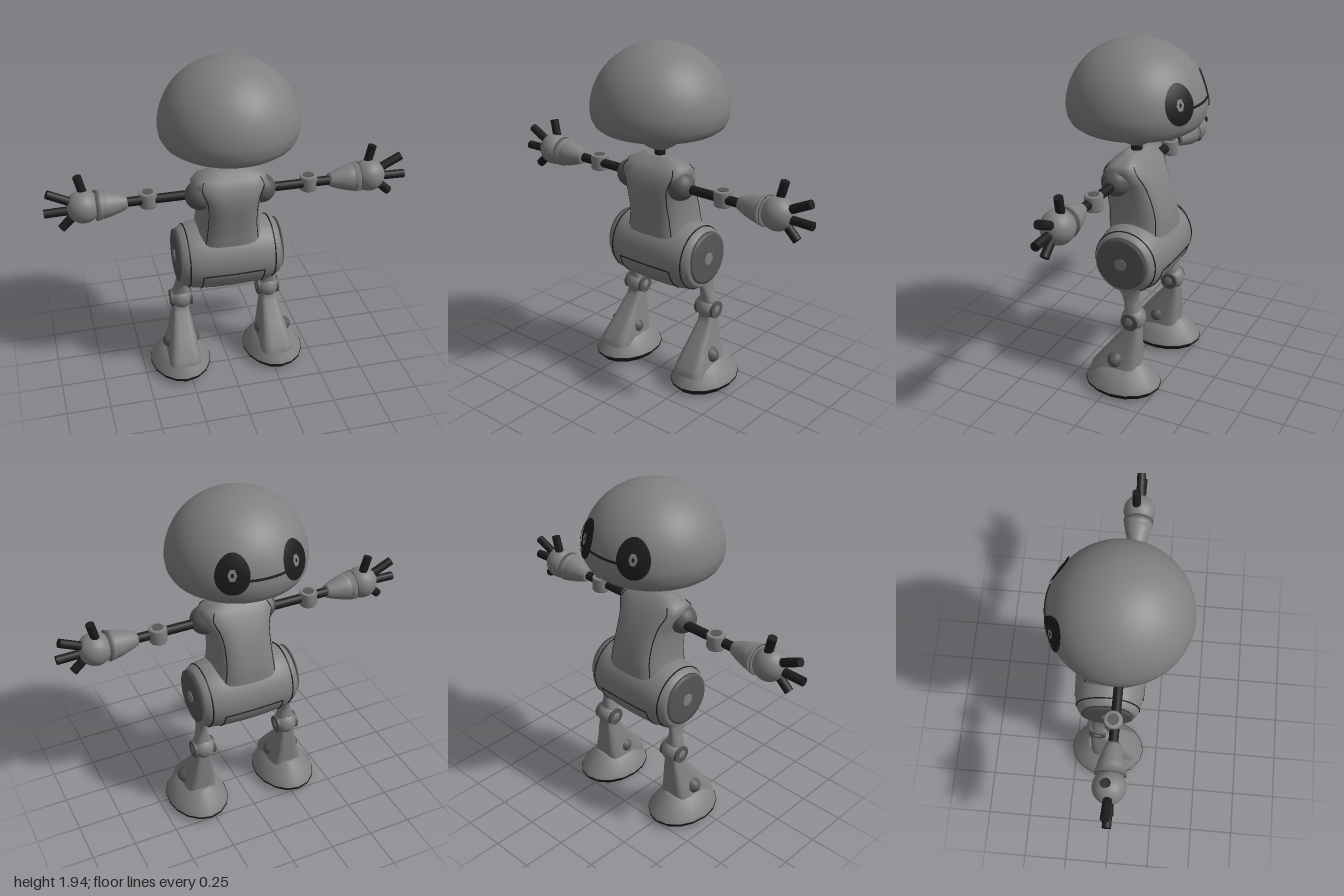
import * as THREE from 'three';

const mats = {
  shell: new THREE.MeshStandardMaterial({ name: 'shellGrey', color: 0x808080 }),
  dark: new THREE.MeshStandardMaterial({ name: 'jointGrey', color: 0x565656 }),
  black: new THREE.MeshStandardMaterial({ name: 'rubberBlack', color: 0x1c1c1c }),
};

function add(parent, name, geometry, mat, x = 0, y = 0, z = 0) {
  const mesh = new THREE.Mesh(geometry, mats[mat]);
  mesh.name = name;
  mesh.position.set(x, y, z);
  parent.add(mesh);
  return mesh;
}

// One superellipse point; row = [y, centreX, centreZ, halfX, halfZ]
function rim(row, t, n) {
  const f = (v) => Math.sign(v) * Math.abs(v) ** (2 / n);
  return [row[1] + row[3] * f(Math.cos(t)), row[0], row[2] + row[4] * f(Math.sin(t))];
}

// Closed skin over cross-sections listed from bottom to top
function loft(rows, n = 2, segs = 32) {
  const pos = [], idx = [];
  const ring = (row) => {
    for (let j = 0; j < segs; j++) pos.push(...rim(row, (j / segs) * Math.PI * 2, n));
  };
  rows.forEach(ring);
  for (let i = 0; i < rows.length - 1; i++) {
    for (let j = 0; j < segs; j++) {
      const a = i * segs + j, b = i * segs + (j + 1) % segs;
      idx.push(a, a + segs, b, b, a + segs, b + segs);
    }
  }
  for (const [row, top] of [[rows[0], false], [rows[rows.length - 1], true]]) {
    const start = pos.length / 3;
    ring(row);
    pos.push(row[1], row[0], row[2]);
    for (let j = 0; j < segs; j++) {
      const a = start + j, b = start + (j + 1) % segs, c = start + segs;
      idx.push(c, ...(top ? [b, a] : [a, b]));
    }
  }
  const g = new THREE.BufferGeometry();
  g.setAttribute('position', new THREE.Float32BufferAttribute(pos, 3));
  g.setIndex(idx);
  g.computeVertexNormals();
  return g;
}

const lathe = (pts, segs = 40) =>
  new THREE.LatheGeometry(pts.map((p) => new THREE.Vector2(p[0], p[1])), segs);

// Cylinder running between two points
function rod(parent, name, a, b, r, mat) {
  const A = new THREE.Vector3(...a), B = new THREE.Vector3(...b);
  const m = add(parent, name, new THREE.CylinderGeometry(r, r, A.distanceTo(B), 14), mat);
  m.position.copy(A).add(B).multiplyScalar(0.5);
  m.quaternion.setFromUnitVectors(new THREE.Vector3(0, 1, 0), B.sub(A).normalize());
}

function seam(parent, name, pts, r = 0.004) {
  const curve = new THREE.CatmullRomCurve3(pts.map((p) => new THREE.Vector3(...p)));
  add(parent, name, new THREE.TubeGeometry(curve, 24, r, 5), 'black');
}

// Dome of the head
const domeR = (y) => 0.377 * Math.sqrt(Math.max(0, 1 - ((y - 1.58) / 0.36) ** 2));

// Wraps a flat unit disc or ring onto the dome, facing -z
function onDome(geometry, angle, y, halfAngle, halfY, lift) {
  const p = geometry.attributes.position;
  for (let i = 0; i < p.count; i++) {
    const a = angle - p.getX(i) * halfAngle, h = y + p.getY(i) * halfY;
    const r = domeR(h) + lift;
    p.setXYZ(i, Math.sin(a) * r, h + lift * 0.4, -Math.cos(a) * r);
  }
  geometry.computeVertexNormals();
  return geometry;
}

function buildHead() {
  const head = new THREE.Group();
  head.name = 'head';
  const profile = [[0, 1.47], [0.29, 1.473], [0.325, 1.482], [0.352, 1.502], [0.37, 1.535]];
  for (let i = 0; i <= 24; i++) {
    const t = (i / 24) * Math.PI / 2;
    profile.push([0.377 * Math.cos(t), 1.58 + 0.36 * Math.sin(t)]);
  }
  add(head, 'headShell', lathe(profile, 64), 'shell');
  for (const s of [-1, 1]) {
    const eye = (name, geo, w, h, lift, mat) =>
      add(head, name, onDome(geo, s * 0.49, 1.67, w, h, lift), mat);
    eye('eyeLens', new THREE.RingGeometry(0.001, 1, 40, 8), 0.235, 0.102, 0.004, 'black');
    eye('eyeRim', new THREE.RingGeometry(0.8, 1, 40, 2), 0.24, 0.105, 0.009, 'black');
    eye('pupil', new THREE.RingGeometry(0.35, 1, 6, 2), 0.065, 0.034, 0.008, 'shell');
  }
  // Bridge line between the eyes
  const line = [];
  for (let i = -4; i <= 4; i++) {
    const a = i * 0.07;
    line.push([Math.sin(a) * domeR(1.64), 1.64, -Math.cos(a) * domeR(1.64)]);
  }
  seam(head, 'eyeBridge', line, 0.007);
  // Neck
  add(head, 'neckCup', lathe([[0, 1.36], [0.05, 1.362], [0.09, 1.385], [0.12, 1.42],
    [0.135, 1.45], [0.135, 1.465], [0, 1.475]]), 'shell');
  rod(head, 'neck', [0, 1.27, 0], [0, 1.38, 0], 0.03, 'black');
  return head;
}

function buildBody() {
  const body = new THREE.Group();
  body.name = 'body';
  const rows = [
    [0.89, 0, -0.05, 0.185, 0.175], [0.94, 0, -0.047, 0.176, 0.175], [1.0, 0, -0.042, 0.168, 0.172],
    [1.1, 0, -0.018, 0.165, 0.166], [1.18, 0, 0.003, 0.177, 0.151], [1.25, 0, 0.014, 0.21, 0.122],
    [1.285, 0, 0.012, 0.19, 0.09], [1.31, 0, 0.01, 0.14, 0.06], [1.325, 0, 0.008, 0.09, 0.035],
  ];
  add(body, 'torso', loft(rows, 3, 48), 'shell');
  // Panel lines down the chest and back
  for (const t of [0.24, 0.76, 1.24, 1.76]) {
    seam(body, 'torsoSeam', rows.slice(0, 7).map((r) => rim(r, t * Math.PI, 3)), 0.003);
  }
  seam(body, 'collarSeam', [[-0.035, 1.312, 0.05], [-0.03, 1.272, 0.105],
    [0, 1.257, 0.118], [0.03, 1.272, 0.105], [0.035, 1.312, 0.05]]);

  // Barrel-shaped hips lying across x
  const half = [[0.297, 0], [0.29, 0.15], [0.275, 0.165], [0.25, 0.178], [0.236, 0.178],
    [0.225, 0.186], [0.17, 0.196], [0.09, 0.201]];
  const barrel = [...half.map(([x, r]) => [r, -x]), [0.203, 0],
    ...half.slice().reverse().map(([x, r]) => [r, x])];
  add(body, 'hips', lathe(barrel, 48), 'shell', 0, 0.76, -0.05).rotation.z = -Math.PI / 2;
  for (const s of [-1, 1]) {
    const ring = add(body, 'hipSeam', new THREE.TorusGeometry(0.18, 0.004, 5, 48), 'black', s * 0.243, 0.76, -0.05);
    ring.rotation.y = Math.PI / 2;
    add(body, 'hipDisc', lathe([[0, -0.01], [0.15, -0.01], [0.148, 0.004], [0.13, 0.008], [0, 0.01]]),
      'dark', s * 0.293, 0.77, -0.05).rotation.z = -s * Math.PI / 2;
    add(body, 'hipBolt', new THREE.CylinderGeometry(0.035, 0.035, 0.01, 12), 'shell',
      s * 0.301, 0.77, -0.05).rotation.z = Math.PI / 2;
    // Lower panel edges, rear and front
    for (const f of [-1, 1]) {
      const side = [];
      for (let a = 0.2; a < 1.1; a += 0.2) {
        side.push([s * 0.175, 0.76 - Math.sin(a) * 0.195, -0.05 + f * Math.cos(a) * 0.195]);
      }
      seam(body, 'hipPanelSide', side);
    }
  }
  for (const f of [-1, 1]) {
    seam(body, 'hipPanelTop', [-0.175, -0.09, 0, 0.09, 0.175].map((x) =>
      [x, 0.721, -0.05 + f * (0.1985 - 0.12 * x * x)]));
  }
  return body;
}

function buildArm(s) {
  const arm = new THREE.Group();
  arm.name = s > 0 ? 'leftArm' : 'rightArm';
  const z = s > 0 ? 0.037 : 0.012, y = 1.185;
  add(arm, 'shoulder', new THREE.SphereGeometry(0.08, 32, 20), 'dark', s * 0.172, 1.19, 0.04);
  rod(arm, 'armRod', [s * 0.2, y, z], [s * 0.62, y, z], 0.026, 'black');
  // Elbow: upright ring with dark caps
  add(arm, 'elbow', lathe([[0, -0.043], [0.045, -0.043], [0.05, -0.035], [0.05, 0.035],
    [0.045, 0.043], [0, 0.043]], 28), 'shell', s * 0.445, y, z - 0.01);
  add(arm, 'elbowCap', new THREE.CylinderGeometry(0.03, 0.03, 0.092, 20), 'dark', s * 0.445, y, z - 0.01);
  // Forearm, wrist band and palm
  add(arm, 'forearm', lathe([[0, 0.56], [0.035, 0.56], [0.04, 0.57], [0.055, 0.61], [0.07, 0.66],
    [0.076, 0.69], [0.071, 0.695], [0.08, 0.7], [0.083, 0.725], [0, 0.73]], 32),
  'shell', 0, 1.187, z).rotation.z = -s * Math.PI / 2;
  add(arm, 'palm', new THREE.SphereGeometry(0.09, 32, 20), 'shell', s * 0.792, 1.19, z);
  const cuff = add(arm, 'wristSeam', new THREE.TorusGeometry(0.082, 0.003, 5, 32), 'dark', s * 0.728, 1.188, z);
  cuff.rotation.y = Math.PI / 2;
  const fingers = [
    [[0.86, 1.178, 0.005], [1.0, 1.175, 0.005]],
    [[0.845, 1.22, 0], [0.978, 1.284, -0.005]],
    [[0.838, 1.15, 0.005], [0.915, 1.078, 0.008]],
    [[0.785, 1.25, -0.015], [0.812, 1.36, -0.02]],
  ];
  for (const [a, b] of fingers) {
    rod(arm, 'finger', [s * a[0], a[1], z + a[2]], [s * b[0], b[1], z + b[2]], 0.024, 'black');
  }
  return arm;
}

function buildLeg(s) {
  const leg = new THREE.Group();
  leg.name = s > 0 ? 'leftLeg' : 'rightLeg';
  const side = (rows) => rows.map((r) => [r[0], s * r[1], ...r.slice(2)]);
  const disc = (name, r, w, mat, x, y, z) => {
    add(leg, name, new THREE.CylinderGeometry(r, r, w, 28), mat, s * x, y, z).rotation.z = Math.PI / 2;
  };
  add(leg, 'thigh', loft(side([
    [0.42, 0.262, -0.108, 0.06, 0.05], [0.48, 0.262, -0.107, 0.052, 0.045], [0.53, 0.262, -0.1, 0.034, 0.042],
    [0.57, 0.262, -0.092, 0.024, 0.05], [0.62, 0.262, -0.08, 0.021, 0.068],
    [0.68, 0.262, -0.065, 0.021, 0.105], [0.76, 0.262, -0.05, 0.02, 0.14],
  ]), 2.5), 'shell');
  add(leg, 'knee', new THREE.SphereGeometry(0.068, 28, 20), 'shell', s * 0.262, 0.44, -0.11);
  disc('kneeCap', 0.05, 0.126, 'dark', 0.262, 0.437, -0.11);
  add(leg, 'shin', loft(side([
    [0.1, 0.28, -0.012, 0.1, 0.143], [0.14, 0.277, -0.017, 0.096, 0.137], [0.25, 0.271, -0.06, 0.07, 0.096],
    [0.36, 0.267, -0.105, 0.05, 0.05], [0.395, 0.265, -0.108, 0.044, 0.044],
  ]), 4, 40), 'shell');
  // Ankle discs bulging from both sides of the shin
  const ankle = add(leg, 'ankle', new THREE.SphereGeometry(0.06, 28, 16), 'dark', s * 0.28, 0.19, -0.035);
  ankle.scale.x = 1.85;
  add(leg, 'foot', loft(side([
    [0.035, 0.285, -0.055, 0.176, 0.221], [0.06, 0.285, -0.055, 0.168, 0.212], [0.1, 0.284, -0.05, 0.14, 0.18],
    [0.135, 0.282, -0.045, 0.112, 0.158], [0.16, 0.281, -0.06, 0.075, 0.11],
  ]), 2, 16), 'shell');
  add(leg, 'sole', loft(side([
    [0.003, 0.285, -0.055, 0.15, 0.195], [0.03, 0.285, -0.055, 0.176, 0.221], [0.04, 0.285, -0.055, 0.177, 0.222],
  ]), 2, 16), 'black');
  add(leg, 'solePad', loft(side([
    [0, 0.285, -0.055, 0.055, 0.07], [0.005, 0.285, -0.055, 0.055, 0.07],
  ]), 2, 8), 'dark');
  return leg;
}

export function createModel() {
  const model = new THREE.Group();
  model.name = 'robot';
  model.add(buildHead(), buildBody());
  for (const s of [-1, 1]) model.add(buildArm(s), buildLeg(s));
  return model;
}
